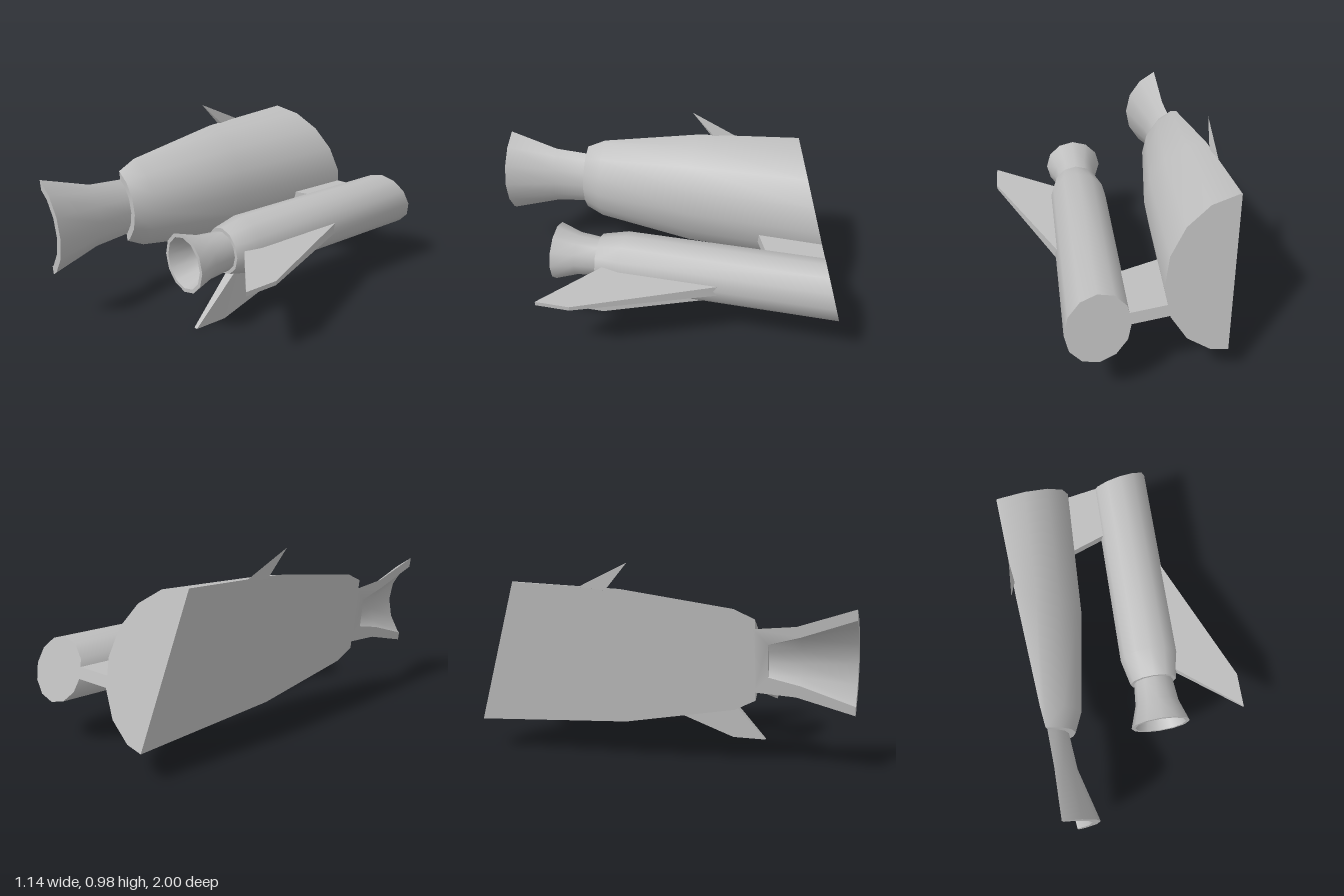
import * as THREE from 'three';
import { toCreasedNormals } from 'three/addons/utils/BufferGeometryUtils.js';
import { ConvexGeometry } from 'three/addons/geometries/ConvexGeometry.js';

const V = (x, y, z) => new THREE.Vector3(x, y, z);
const BOOSTER = { x: 0.115, y: 0.388 };
const CORE = { x: -0.562, y: 0.51 };
const CREASE = 0.62;

// slanted plane that closes the rear of every part
const rearZ = (x, y) => -0.943 - 0.2 * (x - BOOSTER.x) + 0.3 * (y - BOOSTER.y);
// lengthwise plane that halves the core; positive on the kept side
const side = p => p.x - (-0.57 - 0.107 * (p.y - 0.87) + 0.07 * (p.z + 0.65));

// move the vertices of a geometry by a rule
function warp(geo, rule) {
  const p = geo.attributes.position;
  for (let i = 0; i < p.count; i++) {
    const v = rule(V(p.getX(i), p.getY(i), p.getZ(i)));
    p.setXYZ(i, v.x, v.y, v.z);
  }
  return geo;
}

// 16-sided arc of the core, ending on the lengthwise plane; z = null means the rear plane
function coreRow(r, z) {
  const vertex = k => {
    const a = k * Math.PI / 8;
    const x = CORE.x + r * Math.cos(a), y = CORE.y + r * Math.sin(a);
    return V(x, y, z === null ? rearZ(x, y) : z);
  };
  const row = [];
  for (let k = -5; k <= 5; k++) {
    let j = k, p = vertex(k), outer = null;
    while (side(p) < 0 && j !== 0) {
      outer = p;
      j -= Math.sign(k);
      p = vertex(j);
    }
    if (outer) p.lerp(outer, side(p) / (side(p) - side(outer)));
    row.push(p);
  }
  return row;
}

// collects faces into one geometry
class Faces {
  constructor() { this.points = []; }
  tri(a, b, c) {
    const n = b.clone().sub(a).cross(c.clone().sub(a));
    if (n.length() > 1e-9) this.points.push(a, b, c);
  }
  // convex polygon turned towards dir
  poly(pts, dir) {
    for (let i = 1; i < pts.length - 1; i++) {
      const [a, b, c] = [pts[0], pts[i], pts[i + 1]];
      const n = b.clone().sub(a).cross(c.clone().sub(a));
      if (n.dot(dir) >= 0) this.tri(a, b, c); else this.tri(a, c, b);
    }
  }
  loft(rows) {
    for (let i = 0; i < rows.length - 1; i++)
      for (let k = 0; k < rows[i].length - 1; k++) {
        const a = rows[i][k], b = rows[i][k + 1], c = rows[i + 1][k + 1], d = rows[i + 1][k];
        this.tri(a, b, c);
        this.tri(a, c, d);
      }
  }
  build() {
    return toCreasedNormals(new THREE.BufferGeometry().setFromPoints(this.points), CREASE);
  }
}

function coreBodyGeometry() {
  const f = new Faces();
  const rows = [[0.366, null], [0.345, -0.106], [0.271, 0.44], [0.229, 0.54]].map(([r, z]) => coreRow(r, z));
  f.loft(rows);
  f.poly(rows[0], V(0, 0, -1));
  f.poly(rows[3], V(0, 0, 1));
  for (let i = 0; i < 3; i++)
    f.poly([rows[i][0], rows[i + 1][0], rows[i + 1][10], rows[i][10]], V(-1, 0, 0));
  return f.build();
}

function coreNozzleGeometry() {
  const f = new Faces();
  const outer = [[0.192, 0.53], [0.213, 0.73], [0.292, 1]].map(([r, z]) => coreRow(r, z));
  const inner = [[0.143, 0.6], [0.175, 0.75], [0.252, 1]].map(([r, z]) => coreRow(r, z));
  f.loft([...outer, ...inner.slice().reverse()]);
  f.poly(inner[0], V(0, 0, 1));
  // sawn wall sections
  const left = V(-1, 0, 0);
  f.poly([outer[0][0], outer[0][10], inner[0][10], inner[0][0]], left);
  for (const e of [0, 10])
    for (let i = 0; i < 2; i++)
      f.poly([outer[i][e], outer[i + 1][e], inner[i + 1][e], inner[i][e]], left);
  return f.build();
}

// 12-sided turned part along z
function turned(profile) {
  const pts = profile.map(([r, z]) => new THREE.Vector2(r, z));
  return new THREE.LatheGeometry(pts, 12).rotateX(Math.PI / 2).translate(BOOSTER.x, BOOSTER.y, 0);
}

// tapered fin pointing to +x from the booster axis; each corner is [reach, z]
function finGeometry(rootBack, rootFront, tipBack, tipFront) {
  const geo = warp(new THREE.BoxGeometry(1, 1, 1), v => {
    const tip = v.x > 0;
    const [x, z] = tip ? (v.z > 0 ? tipFront : tipBack) : (v.z > 0 ? rootFront : rootBack);
    return V(x, Math.sign(v.y) * (tip ? 0.011 : 0.03), z);
  }).toNonIndexed();
  geo.computeVertexNormals();
  return geo;
}

export function createModel() {
  const group = new THREE.Group();
  const grey = new THREE.MeshStandardMaterial({ color: 0xbebebe });
  grey.name = 'plain grey';
  const add = (name, geo) => {
    const mesh = new THREE.Mesh(geo, grey);
    mesh.name = name;
    group.add(mesh);
    return mesh;
  };

  // halved core stage
  add('coreBody', coreBodyGeometry());
  add('coreNozzle', coreNozzleGeometry());

  // sliver of the core's upper fin
  add('coreFinSliver', new ConvexGeometry([
    V(-0.54, 0.975, -0.064), V(-0.545, 0.855, -0.315), V(-0.536, 0.84, -0.18), V(-0.526, 0.84, -0.2)
  ]));

  // side booster
  const body = warp(
    turned([[0, -1], [0.157, -1], [0.157, 0.16], [0.125, 0.3], [0, 0.3]]),
    v => (v.z < -0.9 ? V(v.x, v.y, rearZ(v.x, v.y)) : v));
  add('boosterBody', toCreasedNormals(body, CREASE));
  add('boosterNozzle', toCreasedNormals(turned([
    [0.105, 0.295], [0.117, 0.42], [0.157, 0.54], [0.137, 0.54], [0.095, 0.41], [0.077, 0.33], [0, 0.33]
  ]), CREASE));

  // booster fins
  const sideFin = add('sideFin', finGeometry([0.13, -0.41], [0.1, 0.235], [0.455, 0.33], [0.455, 0.51]));
  sideFin.position.set(BOOSTER.x, BOOSTER.y, 0);
  const lowerFin = add('lowerFin', finGeometry([0.13, -0.41], [0.1, 0.215], [0.388, 0.3], [0.388, 0.48]));
  lowerFin.position.set(BOOSTER.x, BOOSTER.y, 0);
  lowerFin.rotation.z = -Math.PI / 2;

  // strut joining booster and core
  const strut = warp(new THREE.BoxGeometry(1, 1, 1), v => {
    const x = v.x > 0 ? -0.02 : -0.235, y = v.y > 0 ? 0.43 : 0.376;
    return V(x, y, v.z > 0 ? -0.525 - 0.39 * (x + 0.2) : rearZ(x, y));
  }).toNonIndexed();
  strut.computeVertexNormals();
  add('strut', strut);

  return group;
}
